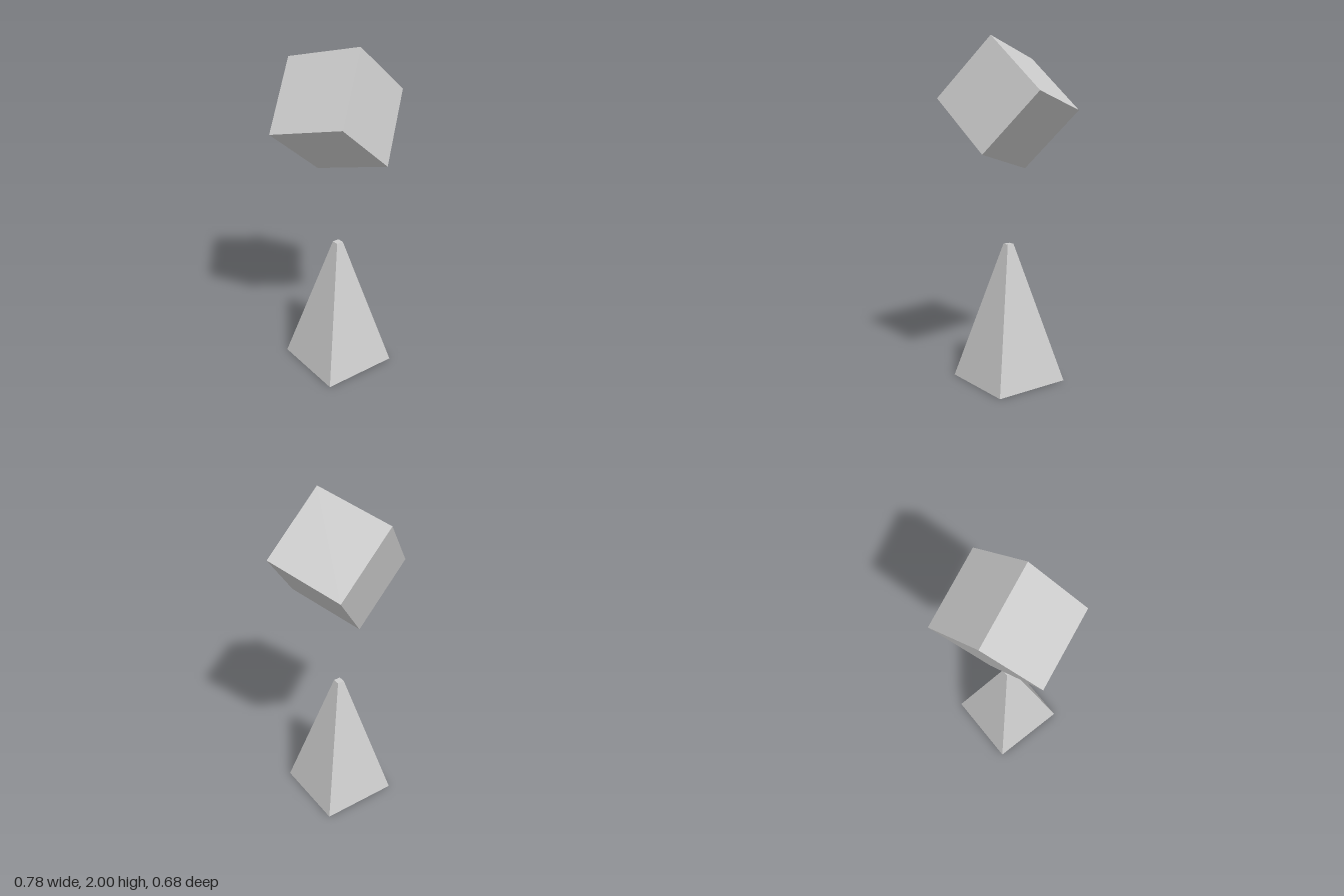
import * as THREE from 'three';

export function createModel() {
  const group = new THREE.Group();
  const material = new THREE.MeshStandardMaterial({ color: 0xcccccc, flatShading: true });

  const add = (name, geometry, y) => {
    const mesh = new THREE.Mesh(geometry, material);
    mesh.name = name;
    mesh.position.y = y;
    group.add(mesh);
    return mesh;
  };

  // Square tapered pedestal with a small flat tip, sides facing the axes
  const height = 0.82, bottomHalf = 0.234, topHalf = 0.021;
  const pedestal = new THREE.CylinderGeometry(topHalf * Math.SQRT2, bottomHalf * Math.SQRT2, height, 4);
  pedestal.rotateY(Math.PI / 4);
  add('pedestal', pedestal, height / 2);

  // Tilted cube floating above the tip
  const cube = add('floatingCube', new THREE.BoxGeometry(0.468, 0.468, 0.468), 1.627);
  cube.rotation.set(1.065, -0.581, -0.441);

  return group;
}
